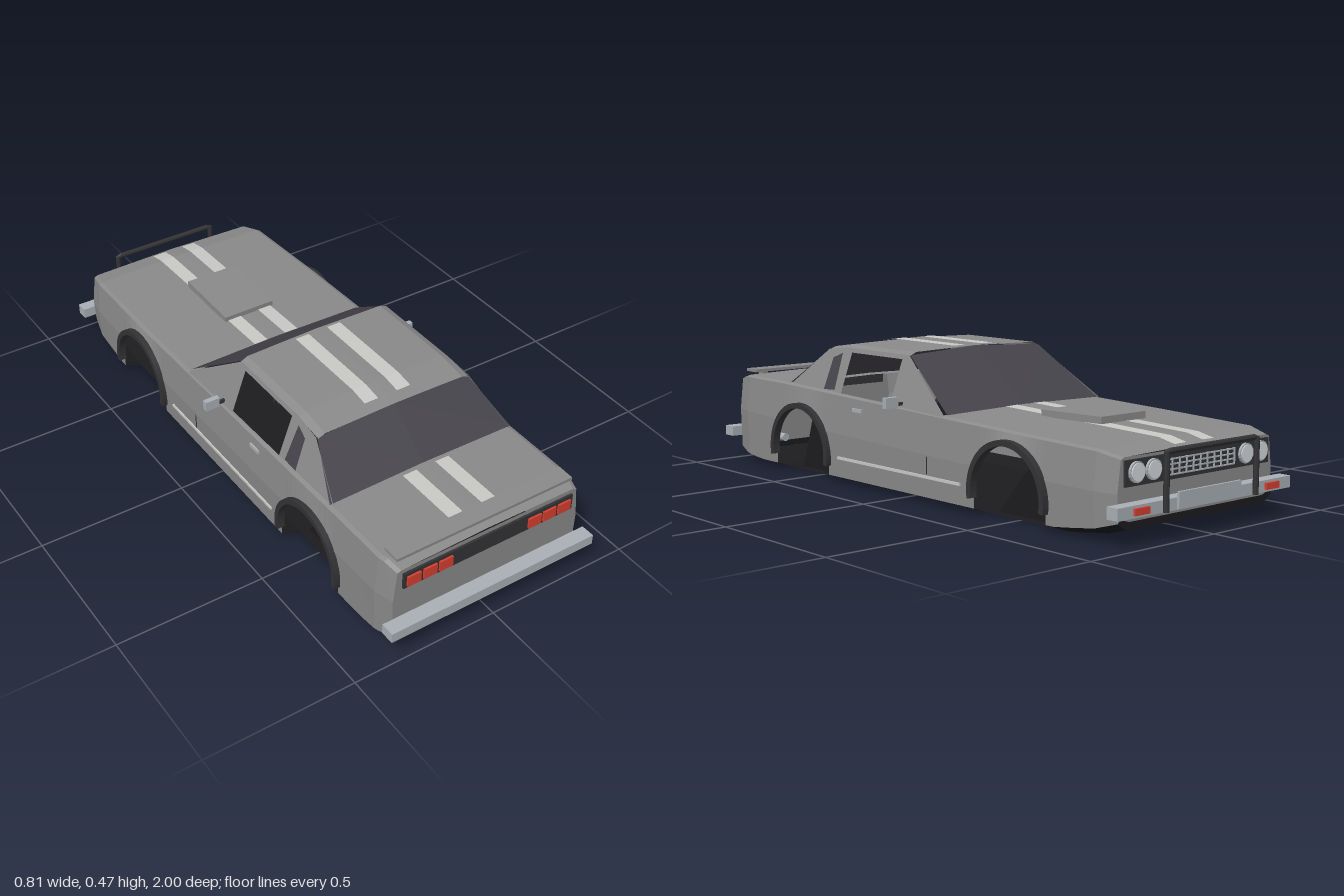
import * as THREE from 'three';

const mat = (name, color, extra = {}) => Object.assign(new THREE.MeshStandardMaterial({ color, flatShading: true, side: THREE.DoubleSide, ...extra }), { name });
const paint = mat('grey paint', 0x8a8a8a);
const glass = mat('tinted glass', 0x46434b);
const black = mat('black underside', 0x1c1c1e);
const trim = mat('dark trim', 0x333336);
const chrome = mat('chrome', 0xa9b0b6);
const white = mat('pale stripe', 0xc9cac6);
const red = mat('red lamp', 0xd63f30);
const lampGlass = mat('headlamp glass', 0xd5dade);

// Piecewise linear lookup through [z, value] knots
const curve = (knots) => (z) => {
  let i = 0;
  while (i < knots.length - 2 && z > knots[i + 1][0]) i++;
  const [a, b] = [knots[i], knots[i + 1]];
  return THREE.MathUtils.mapLinear(THREE.MathUtils.clamp(z, a[0], b[0]), a[0], b[0], a[1], b[1]);
};
const width = curve([[-0.935, 0.333], [-0.86, 0.35], [-0.5, 0.358], [0.5, 0.358], [0.88, 0.355], [0.95, 0.34]]);
const shoulder = curve([[-0.935, 0.245], [-0.86, 0.261], [-0.2, 0.281], [0.63, 0.307], [0.9, 0.31], [0.95, 0.298]]);
const crease = curve([[-0.935, 0.15], [-0.3, 0.156], [0.4, 0.172], [0.95, 0.19]]);
const floorY = curve([[-0.935, 0.045], [-0.85, 0.02], [-0.7, 0.002], [0.8, 0.002], [0.9, 0.014], [0.95, 0.03]]);
const deckY = (x, z) => shoulder(z) + 0.012 - 0.006 * Math.abs(x) / 0.33;
const cabinX = (y) => 0.335 - (y - 0.3) * 0.367;

// Skin over rows of [x, y, z] points
function loft(rows) {
  const n = rows[0].length, index = [];
  for (let i = 0; i < rows.length - 1; i++) for (let j = 0; j < n - 1; j++) {
    const a = i * n + j, b = a + n;
    index.push(a, b, a + 1, b, b + 1, a + 1);
  }
  const g = new THREE.BufferGeometry();
  g.setAttribute('position', new THREE.Float32BufferAttribute(rows.flat(2), 3));
  g.setIndex(index);
  const flat = g.toNonIndexed();
  flat.computeVertexNormals();
  return flat;
}
const mirrorRow = (row) => row.map(([x, y, z]) => [-x, y, z]);

// Side panel drawn in (z, y), leaned by xOf(y)
function sidePanel(points, xOf, hole) {
  const shape = new THREE.Shape(points.map((p) => new THREE.Vector2(...p)));
  if (hole) shape.holes.push(new THREE.Path(hole.map((p) => new THREE.Vector2(...p))));
  const g = new THREE.ShapeGeometry(shape), p = g.attributes.position;
  for (let i = 0; i < p.count; i++) p.setXYZ(i, xOf(p.getY(i)), p.getY(i), p.getX(i));
  g.computeVertexNormals();
  return g;
}

export function createModel() {
  const car = new THREE.Group();
  car.name = 'car';
  const add = (name, geo, material, x = 0, y = 0, z = 0) => {
    const m = new THREE.Mesh(geo, material);
    m.name = name;
    m.position.set(x, y, z);
    car.add(m);
    return m;
  };
  const box = (name, material, w, h, d, x, y, z) => add(name, new THREE.BoxGeometry(w, h, d), material, x, y, z);
  const tube = (name, material, r, len, x, y, z) => {
    const m = add(name, new THREE.CylinderGeometry(r, r, len, 16), material, x, y, z);
    m.rotation.x = Math.PI / 2;
    return m;
  };

  // Stations along the body, with the wheel arches cut from the bottom edge
  const axles = [-0.515, 0.54], R = 0.155, hubY = 0.085;
  const stations = [-0.935, -0.86, -0.76, -0.7, -0.2, 0, 0.2, 0.78, 0.82, 0.88, 0.9, 0.95].map((z) => ({ z, b: floorY(z) + 0.022 }));
  for (const c of axles) {
    const lip = (z) => ({ z, b: floorY(z) + 0.022 });
    const arc = Array.from({ length: 17 }, (_, i) => {
      const a = Math.PI * i / 16;
      return { z: c - R * Math.cos(a), b: hubY + R * Math.sin(a), arch: true };
    });
    stations.push(lip(c - R), ...arc, lip(c + R));
  }
  stations.forEach((s, i) => { s.order = i; });
  stations.sort((a, b) => (Math.abs(a.z - b.z) > 1e-6 ? a.z - b.z : a.order - b.order));

  // Body sides and end faces
  const sideRows = stations.map(({ z, b }) => {
    const w = width(z), c = Math.max(b, crease(z));
    return [[w - 0.004, b, z], [w, c, z], [w - 0.012, shoulder(z), z], [w - 0.025, deckY(0.33, z), z], ];
  });
  add('leftBodySide', loft(sideRows), paint);
  add('rightBodySide', loft(sideRows.map(mirrorRow)), paint);
  for (const [name, row] of [['noseFace', sideRows[0]], ['tailFace', sideRows.at(-1)]]) add(name, loft([row, mirrorRow(row)]), paint);

  // Hood and trunk lid
  const deckRow = (z) => [-1, 0, 1].map((s) => [s * (width(z) - 0.025), deckY(s * 0.33, z), z]);
  add('hood', loft([-0.935, -0.86, -0.5, -0.19].map(deckRow)), paint);
  add('trunkLid', loft([0.6, 0.63, 0.88, 0.9, 0.95].map(deckRow)), paint);

  // Underside
  const floorRows = stations.map(({ z, b, arch }) => {
    const f = floorY(z), outer = arch ? [0.29, f, z] : [width(z) - 0.004, b, z], inner = [0.288, f, z];
    return [outer, inner, ...mirrorRow([inner, outer])];
  });
  add('underside', loft(floorRows), black);
  for (const [name, z, top] of [['rearValance', 0.953, 0.062], ['frontValance', -0.938, 0.068]]) {
    const f = floorY(z), w = width(z);
    add(name, loft([[[-w, f + 0.022, z], [-0.3, f, z], [0.3, f, z], [w, f + 0.022, z]],
      [[-w + 0.01, top + 0.012, z], [-0.29, top, z], [0.29, top, z], [w - 0.01, top + 0.012, z]]]), black);
  }

  // Cabin sides with open door windows and dark quarter windows
  for (const s of [1, -1]) {
    const side = s > 0 ? 'left' : 'right';
    add(side + 'CabinSide', sidePanel(
      [[0.64, 0.295], [0.63, 0.316], [0.47, 0.44], [0.37, 0.452], [0.04, 0.452], [-0.2, 0.29], [-0.2, 0.278]],
      (y) => s * cabinX(y), [[0.34, 0.302], [0.34, 0.437], [0.07, 0.437], [0.07, 0.298]]), paint);
    add(side + 'QuarterWindow', sidePanel([[0.435, 0.31], [0.43, 0.415], [0.385, 0.433], [0.375, 0.312]],
      (y) => s * (cabinX(y) + 0.004)), glass);
  }

  // Roof, windshield and rear window
  const roofRow = ([z, edge, rim, mid]) => [[-0.28, edge], [-0.255, rim], [0, mid], [0.255, rim], [0.28, edge]].map(([x, y]) => [x, y, z]);
  add('roof', loft([[0.035, 0.45, 0.461, 0.467], [0.37, 0.45, 0.462, 0.468], [0.475, 0.437, 0.447, 0.452]].map(roofRow)), paint);
  const pane = (name, zLow, yLow, xLow, zHigh, yHigh, yMid) => add(name, loft([
    [[-xLow, yLow, zLow], [0, yLow + 0.006, zLow], [xLow, yLow, zLow]],
    [[-0.28, yHigh - 0.01, zHigh], [0, yMid, zHigh], [0.28, yHigh - 0.01, zHigh]]]), glass);
  pane('windshield', -0.205, 0.289, 0.328, 0.035, 0.462, 0.467);
  pane('rearWindow', 0.625, 0.316, 0.338, 0.47, 0.449, 0.452);

  // Paired stripes over hood, roof and trunk
  const roofY = curve([[0.035, 0.467], [0.37, 0.468], [0.475, 0.452]]);
  for (const s of [1, -1]) {
    const stripe = (name, zs, yOf) => add(name, loft(zs.map((z) => [0.035, 0.085].map((x) => [s * x, yOf(x, z), z]))), white);
    stripe('hoodStripe', [-0.92, -0.86, -0.5, -0.205], (x, z) => deckY(x, z) + 0.003);
    stripe('roofStripe', [0.05, 0.37, 0.435], (x, z) => roofY(z) + 0.002);
    stripe('trunkStripe', [0.64, 0.75, 0.865], (x, z) => deckY(x, z) + 0.003);
  }

  // Hood scoop and rear spoiler
  box('hoodScoop', paint, 0.19, 0.022, 0.26, 0, 0.296, -0.51).rotation.x = 0.02;
  box('spoiler', paint, 0.64, 0.01, 0.06, 0, 0.331, 0.905);
  for (const x of [-0.27, 0.27]) box('spoilerFoot', paint, 0.02, 0.016, 0.03, x, 0.321, 0.905);

  // Bumpers
  box('rearBumper', chrome, 0.75, 0.034, 0.048, 0, 0.108, 0.976);
  box('frontBumper', chrome, 0.75, 0.036, 0.042, 0, 0.105, -0.956);
  box('bumperPlate', chrome, 0.27, 0.05, 0.008, 0, 0.115, -0.981);

  // Tail panel and lamps
  box('tailPanel', trim, 0.62, 0.056, 0.009, 0, 0.262, 0.953);
  // Grille and nose panel
  box('grillePanel', trim, 0.62, 0.075, 0.009, 0, 0.205, -0.938);
  for (let i = 0; i < 4; i++) box('grilleBar', chrome, 0.3, 0.004, 0.006, 0, 0.182 + i * 0.015, -0.944);
  for (let i = 0; i < 11; i++) box('grilleSlat', chrome, 0.004, 0.05, 0.005, -0.15 + i * 0.03, 0.205, -0.944);

  for (const s of [1, -1]) {
    for (const x of [0.163, 0.219, 0.276]) box('tailLamp', red, 0.047, 0.036, 0.008, s * x, 0.26, 0.96);
    for (const x of [0.2, 0.268]) {
      tube('headlampRim', chrome, 0.031, 0.014, s * x, 0.207, -0.943);
      tube('headlamp', lampGlass, 0.026, 0.016, s * x, 0.207, -0.945);
    }
    box('signalLamp', red, 0.06, 0.02, 0.009, s * 0.283, 0.105, -0.981);
    tube('exhaustPipe', chrome, 0.014, 0.09, s * 0.19, 0.074, 0.93);

    // Mirrors, door handles, rub strips and door seams
    box('mirror', chrome, 0.05, 0.034, 0.018, s * 0.38, 0.31, 0.012);
    box('mirrorArm', trim, 0.04, 0.01, 0.01, s * 0.345, 0.303, 0.012);
    box('doorHandle', chrome, 0.01, 0.012, 0.05, s * 0.35, 0.259, 0.225);
    box('rubStrip', white, 0.008, 0.009, 0.63, s * 0.357, 0.09, 0.015);
    box('doorSeam', trim, 0.004, 0.055, 0.003, s * 0.357, 0.127, -0.14);

    // Wheel arch flares and inner panels
    for (const c of axles) {
      const ring = new THREE.Shape();
      ring.absarc(0, 0, 0.168, -0.17, Math.PI + 0.17, false);
      ring.absarc(0, 0, 0.15, Math.PI + 0.17, -0.17, true);
      const flare = add('archFlare', new THREE.ExtrudeGeometry(ring, { depth: 0.026, bevelEnabled: false, curveSegments: 16 }), trim, s > 0 ? 0.348 : -0.374, hubY, c);
      flare.rotation.y = Math.PI / 2;
    }
    add('rearInnerPanel', sidePanel([[0.67, 0.004], [0.6, 0.22], [0.565, 0.18], [0.52, 0.23], [0.4, 0.004]], () => s * 0.26), black);
    add('frontInnerPanel', sidePanel([[-0.37, 0.004], [-0.56, 0.22], [-0.64, 0.004]], () => s * 0.26), black);
  }

  // Push bar on the nose
  const bar = new THREE.CurvePath();
  const pts = [[-0.195, 0.09], [-0.195, 0.262], [0.195, 0.262], [0.195, 0.09]].map(([x, y]) => new THREE.Vector3(x, y, -0.99));
  for (let i = 0; i < 3; i++) bar.add(new THREE.LineCurve3(pts[i], pts[i + 1]));
  add('pushBar', new THREE.TubeGeometry(bar, 60, 0.009, 8), trim);

  // Steering wheel
  const wheel = add('steeringWheel', new THREE.TorusGeometry(0.042, 0.006, 6, 20), trim, -0.15, 0.295, 0.09);
  wheel.rotation.x = 0.35;
  return car;
}
